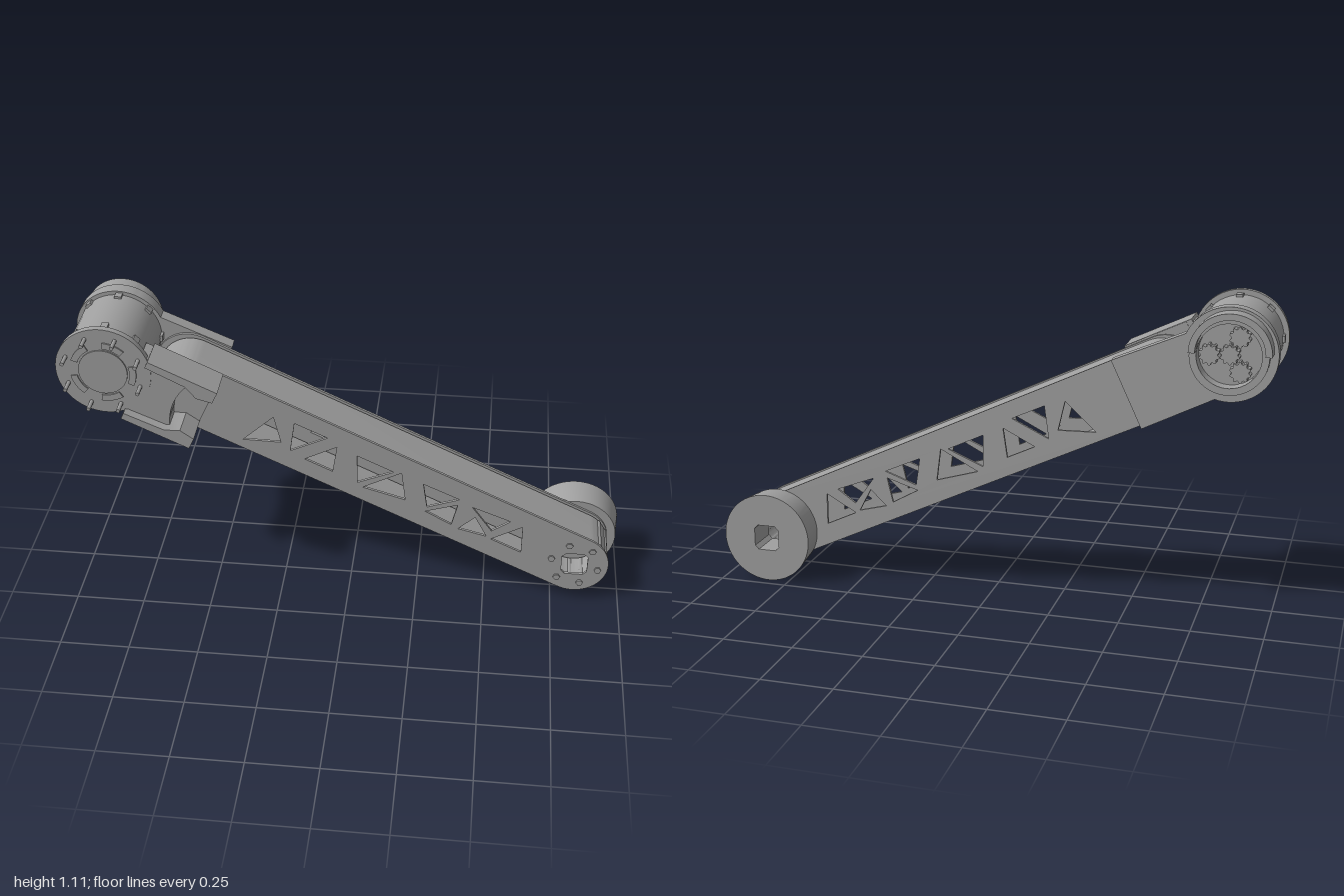
import * as THREE from 'three';
import { toCreasedNormals } from 'three/addons/utils/BufferGeometryUtils.js';

const grey = new THREE.MeshStandardMaterial({ color: 0xa0a0a0 });
grey.name = 'machined grey';

const TILT = -0.4416;   // slope of the arm
const LEN = 1.836;      // distance between the two joints
const V = (pts) => pts.map(([x, y]) => new THREE.Vector2(x, y));

function add(parent, geo, name) {
  const m = new THREE.Mesh(geo, grey);
  m.name = name;
  parent.add(m);
  return m;
}

// Flat part cut from a shape, spanning z0 to z1
function slab(parent, shape, z0, z1, name) {
  const geo = new THREE.ExtrudeGeometry(shape, { depth: z1 - z0, bevelEnabled: false, curveSegments: 24 });
  geo.translate(0, 0, z0);
  return add(parent, toCreasedNormals(geo, 0.5), name);
}

// Cylinder along z
function rod(parent, x, y, z0, z1, r, name, sides = 40) {
  const geo = new THREE.CylinderGeometry(r, r, z1 - z0, sides).rotateX(Math.PI / 2);
  geo.translate(x, y, (z0 + z1) / 2);
  return add(parent, geo, name);
}

function box(parent, x0, x1, y0, y1, z0, z1, name) {
  const geo = new THREE.BoxGeometry(x1 - x0, y1 - y0, z1 - z0);
  geo.translate((x0 + x1) / 2, (y0 + y1) / 2, (z0 + z1) / 2);
  return add(parent, geo, name);
}

// Long rounded outline from u0 to u1 (centres of the end arcs)
function stadium(u0, u1, r, Type = THREE.Shape) {
  const s = new Type();
  s.absarc(u0, 0, r, Math.PI / 2, Math.PI * 1.5, false);
  s.absarc(u1, 0, r, -Math.PI / 2, Math.PI / 2, false);
  s.closePath();
  return s;
}

function circlePath(r, x = 0, y = 0) {
  return new THREE.Path().absarc(x, y, r, 0, Math.PI * 2, false);
}

// Square drive hole with clipped corners, level in the world
function squareHole(cx, h, c) {
  const pts = [[h, -c], [h, c], [c, h], [-c, h], [-h, c], [-h, -c], [-c, -h], [c, -h]];
  return new THREE.Path(V(pts).map((p) => p.rotateAround(new THREE.Vector2(), -TILT).add(new THREE.Vector2(cx, 0))));
}

// Truss cutouts: corners along (u) and across (v) the arm
const CUTOUTS = [
  [[0.543, -0.09], [0.6, 0.05], [0.667, -0.035]],
  [[0.676, 0.062], [0.805, 0.063], [0.711, -0.052]],
  [[0.77, -0.06], [0.85, 0.043], [0.881, -0.06]],
  [[0.929, 0.045], [1.074, 0.045], [0.98, -0.06]],
  [[1.005, -0.07], [1.1, 0.055], [1.164, -0.045]],
  [[1.19, 0.05], [1.335, 0.053], [1.247, -0.035]],
  [[1.25, -0.055], [1.34, 0.028], [1.36, -0.063]],
  [[1.39, 0.045], [1.541, 0.056], [1.5, -0.016]],
  [[1.39, -0.067], [1.42, 0.01], [1.496, -0.047]],
  [[1.515, -0.05], [1.59, 0.055], [1.64, -0.05]],
];

function buildArm(arm) {
  // Side plates with truss cutouts
  for (const [z0, z1, name] of [[0.06, 0.07, 'frontPlate'], [-0.107, -0.097, 'backPlate']]) {
    const s = stadium(0.27, LEN, 0.123);
    for (const tri of CUTOUTS) s.holes.push(new THREE.Path(V(tri)));
    s.holes.push(squareHole(LEN, 0.047, 0.033));
    slab(arm, s, z0, z1, name);
  }
  // Hollow belt housing between the plates
  const belt = stadium(0.285, LEN, 0.118);
  belt.holes.push(stadium(0.285, LEN, 0.104, THREE.Path));
  slab(arm, belt, -0.09, 0.056, 'beltHousing');
  // Ribs round the nose
  for (let i = -3; i <= 3; i++) {
    const a = i * 0.4;
    rod(arm, LEN + 0.112 * Math.cos(a), 0.112 * Math.sin(a), -0.088, 0.054, 0.011, 'noseRib', 6);
  }
  // Bolts around the drive hole
  for (let i = 0; i < 6; i++) {
    const a = i * Math.PI / 3 + 0.2;
    rod(arm, LEN + 0.088 * Math.cos(a), 0.088 * Math.sin(a), 0.068, 0.076, 0.013, 'hubBolt', 6);
  }
}

function buildWheel(arm) {
  // Tapered end disc with a square drive hole
  const s = new THREE.Shape().absarc(0, 0, 0.165, 0, Math.PI * 2, false);
  s.holes.push(squareHole(0, 0.047, 0.033));
  const geo = new THREE.ExtrudeGeometry(s, { depth: 0.111, bevelEnabled: false, curveSegments: 48 });
  const p = geo.attributes.position;
  for (let i = 0; i < p.count; i++) {
    const x = p.getX(i), y = p.getY(i);
    if (Math.hypot(x, y) > 0.1 && p.getZ(i) > 0.05) p.setXY(i, x * 0.935, y * 0.935);
  }
  geo.translate(LEN, 0, -0.217);
  add(arm, toCreasedNormals(geo, 0.5), 'endDisc');
}

function buildMotor(arm) {
  // Motor body with raised ribs
  rod(arm, 0, 0, -0.125, 0.14, 0.146, 'motorBody', 48);
  for (let i = 0; i < 8; i++) {
    const a = (i + 0.5) * Math.PI / 4;
    for (const [z0, z1] of [[0.095, 0.132], [-0.14, -0.08]]) {
      const clip = box(arm, 0.138, 0.154, -0.012, 0.012, z0, z1, 'motorClip');
      clip.rotation.z = a;
    }
    // Long screws through the front face
    rod(arm, 0.135 * Math.cos(a - TILT), 0.135 * Math.sin(a - TILT), 0.15, 0.214, 0.007, 'faceScrew', 8);
  }
  // Front face with a raised boss and arc pads
  rod(arm, 0, 0, 0.14, 0.163, 0.165, 'motorFace', 56);
  rod(arm, 0, 0, 0.162, 0.168, 0.085, 'faceBoss', 40);
  for (let i = 0; i < 5; i++) {
    const a = i * Math.PI * 0.4;
    const pad = new THREE.Shape();
    pad.absarc(0, 0, 0.115, a, a + 0.7, false);
    pad.absarc(0, 0, 0.092, a + 0.7, a, true);
    slab(arm, pad, 0.162, 0.168, 'facePad');
  }
}

function buildFrontBracket(arm) {
  // Thin base plate, thick web with a hollowed end, two projecting flaps
  box(arm, 0.14, 0.375, -0.124, 0.128, 0.068, 0.082, 'bracketBase');
  const web = new THREE.Shape();
  web.moveTo(0.1, 0.12);
  web.absarc(0, 0, 0.15, 0.9, -0.9, true);
  web.lineTo(0.3, -0.126);
  web.quadraticCurveTo(0.22, 0, 0.3, 0.128);
  slab(arm, web, 0.07, 0.16, 'bracketWeb');
  for (const side of [1, -1]) {
    const flap = new THREE.Shape(V([
      [0.12, 0.13], [0.376, 0.13], [0.376, 0.085], [0.32, 0.075], [0.27, 0.1], [0.12, 0.105],
    ].map(([x, y]) => [x, y * side])));
    slab(arm, flap, 0.07, 0.194, 'bracketFlap');
  }
}

function buildBackBracket(arm) {
  // Round mount that runs out along the arm
  const s = new THREE.Shape();
  s.absarc(0, 0, 0.16, 0.85, Math.PI * 2 - 0.85, false);
  s.lineTo(0.377, -0.126);
  s.lineTo(0.377, 0.13);
  s.closePath();
  s.holes.push(circlePath(0.108));
  slab(arm, s, -0.155, -0.107, 'backBracket');
  // Gear ring and the taller collar over its upper half
  const ring = new THREE.Shape().absarc(0, 0, 0.132, 0, Math.PI * 2, false);
  ring.holes.push(circlePath(0.108));
  slab(arm, ring, -0.178, -0.15, 'gearRing');
  const collar = new THREE.Shape();
  collar.absarc(-0.012, 0.008, 0.137, -TILT, Math.PI - TILT, false);
  collar.absarc(-0.012, 0.008, 0.115, Math.PI - TILT, -TILT, true);
  slab(arm, collar, -0.217, -0.15, 'collar');
  // Sun gear and three planets inside the ring
  const gear = (x, y, r, teeth, name) => {
    const pts = [];
    for (let i = 0; i < teeth * 4; i++) {
      const a = i * Math.PI / (teeth * 2), q = i % 4 < 2 ? r : r * 0.8;
      pts.push([x + q * Math.cos(a), y + q * Math.sin(a)]);
    }
    slab(arm, new THREE.Shape(V(pts)), -0.16, -0.12, name);
  };
  gear(0, 0, 0.034, 10, 'sunGear');
  for (let i = 0; i < 3; i++) {
    const a = i * Math.PI * 2 / 3 + 0.4;
    gear(0.068 * Math.cos(a), 0.068 * Math.sin(a), 0.036, 10, 'planetGear');
  }
}

export function createModel() {
  const model = new THREE.Group();
  model.name = 'roboticArmSegment';
  const arm = new THREE.Group();
  arm.name = 'tiltedArm';
  arm.position.set(-0.832, 0.953, 0);
  arm.rotation.z = TILT;
  model.add(arm);
  buildArm(arm);
  buildWheel(arm);
  buildMotor(arm);
  buildFrontBracket(arm);
  buildBackBracket(arm);
  return model;
}
